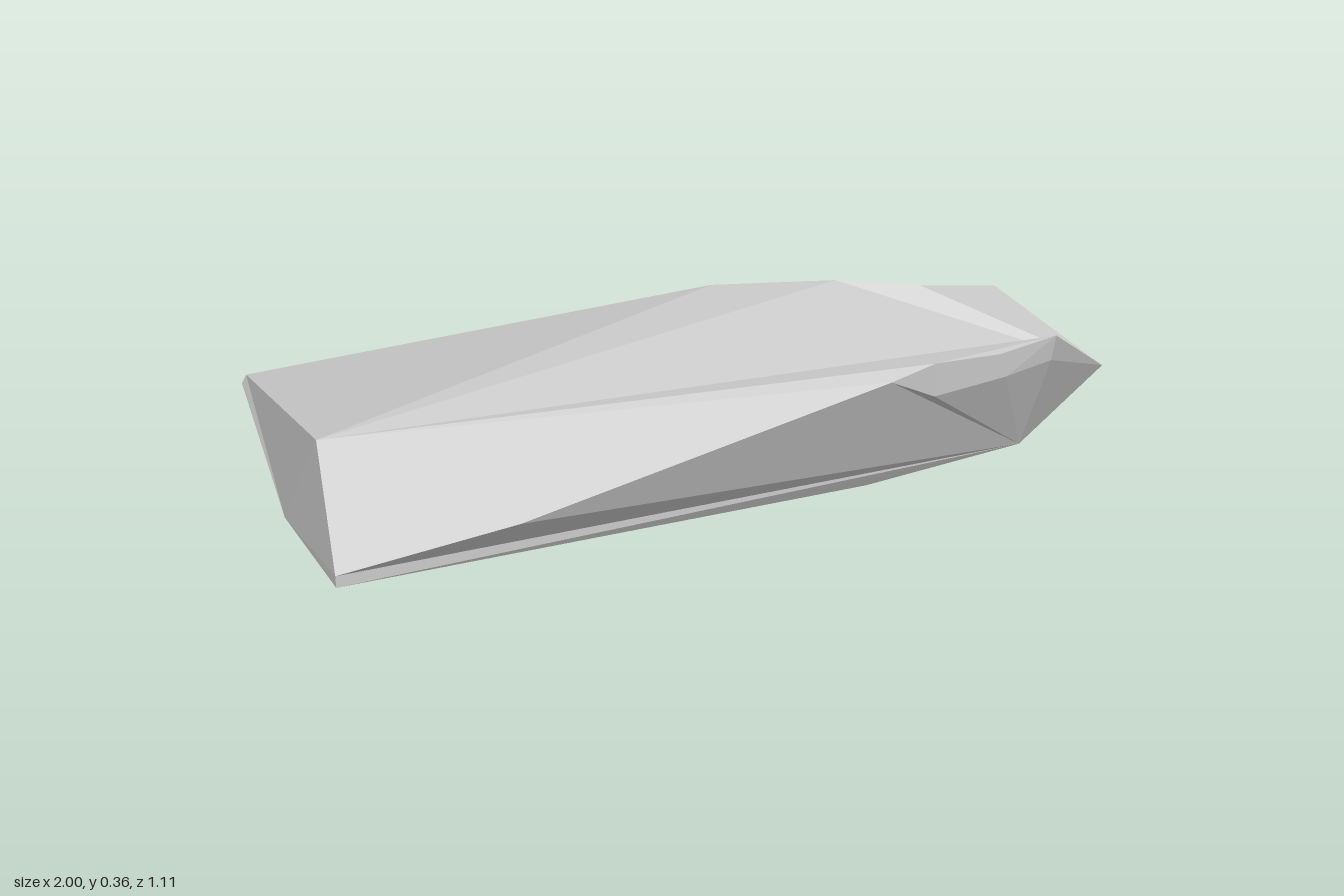
import * as THREE from 'three';

// Corner points of the faceted hull: bow at +x, transom at -x
const P = {
  bow: [1, 0.12, -0.03], peak: [-0.98, 0.36, 0.31],
  // stern corners and keel
  backLow: [-1, 0.14, -0.555], backUp: [-0.99, 0.165, -0.545],
  frontLow: [-1, 0.14, 0.55], frontUp: [-1, 0.165, 0.548],
  sternKeel: [-1, 0.02, -0.05], keel: [-0.8, 0, -0.05],
  // flat bottom
  b1: [0.3, 0, -0.17], b3: [0.73, 0, 0.085], b4: [0.3, 0, 0.18],
  // rear gunwale
  r: [0.1, 0.332, -0.333], r0: [0.3, 0.31, -0.312],
  r1: [0.4, 0.325, -0.282], r2: [0.6, 0.305, -0.23], r3: [0.77, 0.305, -0.17],
  // front gunwale and the lower edge of its lip
  g: [-0.6, 0.19, 0.49], g0: [0.3, 0.31, 0.312], g1: [0.42, 0.325, 0.277], g2: [0.6, 0.305, 0.23], g3: [0.77, 0.305, 0.17],
  l1: [0.42, 0.245, 0.277], l2: [0.62, 0.245, 0.225], l3: [0.76, 0.245, 0.17],
};

// Each part is a list of polygons, fanned from their first corner
const PARTS = {
  deck: [
    'peak r backUp', 'peak r1 r', 'peak bow r1', 'bow r3 r2 r1',
    'peak g0 g1 g3 bow', 'g1 g2 g3',
  ],
  rearSide: ['bow backLow r0 r1 r2 r3', 'r0 backLow backUp r', 'r0 r r1', 'bow b1 backLow'],
  frontTopside: ['peak frontUp g g0'],
  frontSide: ['b3 bow l3 l2 l1 g0 g frontUp frontLow b4'],
  gunwaleLip: ['g0 l1 g1', 'l1 l2 g2 g1', 'l2 l3 g3 g2', 'l3 bow g3'],
  bottom: [
    'keel b1 b3 b4', 'keel b4 frontLow sternKeel',
    'keel sternKeel backLow b1', 'bow b3 b1',
  ],
  transom: ['sternKeel frontLow frontUp peak backUp backLow'],
};

function facets(polygons) {
  const pos = [];
  for (const polygon of polygons) {
    const c = polygon.split(' ').map((name) => P[name]);
    for (let i = 1; i < c.length - 1; i++) pos.push(...c[0], ...c[i], ...c[i + 1]);
  }
  const geometry = new THREE.BufferGeometry();
  geometry.setAttribute('position', new THREE.Float32BufferAttribute(pos, 3));
  geometry.computeVertexNormals();
  return geometry;
}

export function createModel() {
  const group = new THREE.Group();
  group.name = 'facetedHull';
  const material = new THREE.MeshStandardMaterial({
    color: 0xcccccc, flatShading: true, side: THREE.DoubleSide,
  });
  for (const [name, polygons] of Object.entries(PARTS)) {
    const mesh = new THREE.Mesh(facets(polygons), material);
    mesh.name = name;
    group.add(mesh);
  }
  return group;
}
